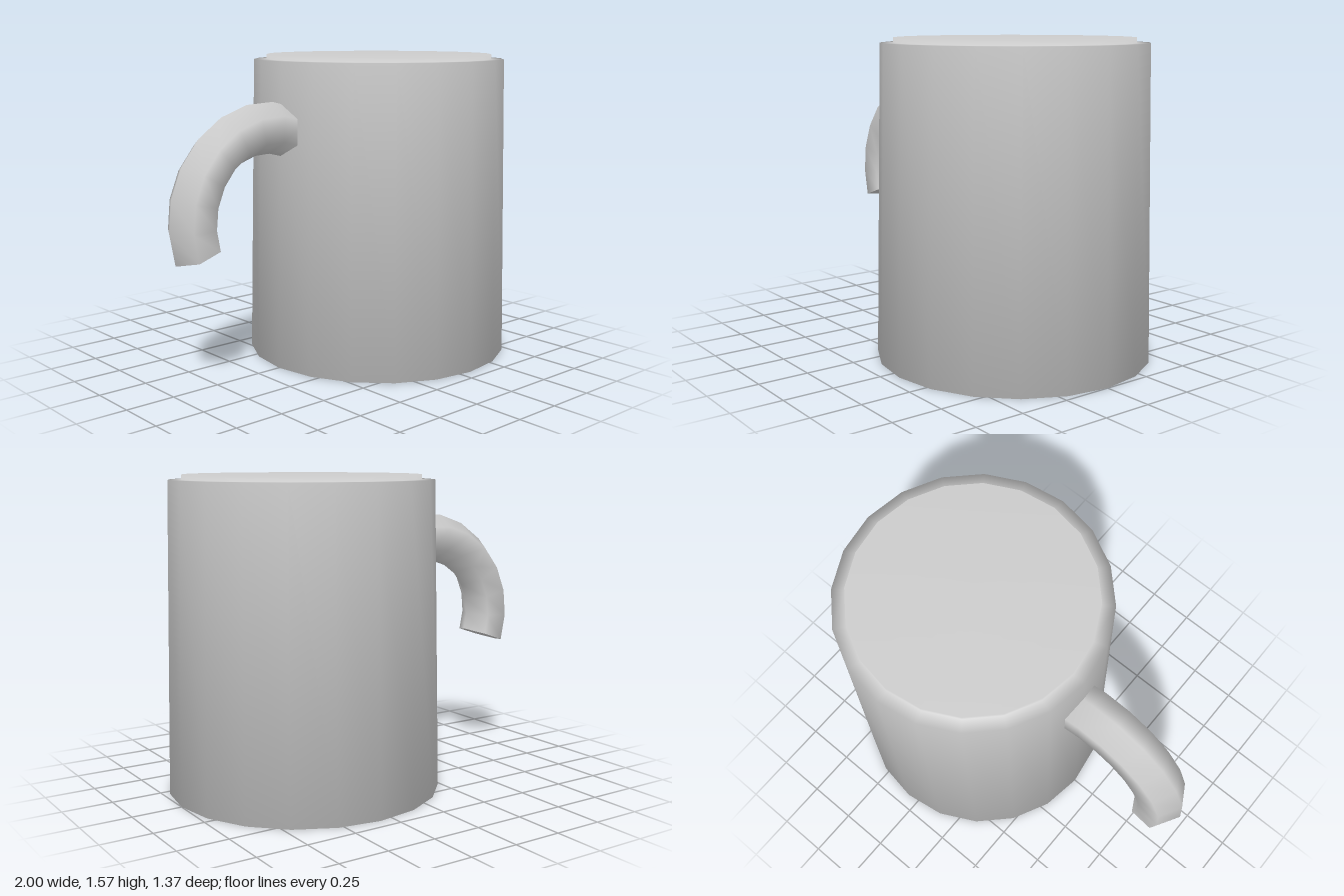
import * as THREE from 'three';

export function createModel() {
  const model = new THREE.Group();
  const grey = new THREE.MeshStandardMaterial({ color: 0xcccccc });
  grey.name = 'plain grey';

  const add = (name, geometry, parent = model) => {
    const mesh = new THREE.Mesh(geometry, grey);
    mesh.name = name;
    parent.add(mesh);
    return mesh;
  };

  // Tapered mug body with a raised disc on top, closed and smooth-shaded
  const profile = [
    [0, 0], [0.685, 0], [0.653, 1.545], [0.588, 1.545], [0.588, 1.57], [0, 1.57],
  ].map(([r, y]) => new THREE.Vector2(r, y));
  add('mugBody', new THREE.LatheGeometry(profile, 20)).position.x = 0.315;

  // Open hook handle: six-sided arc from inside the wall to a free lower end
  const arcRadius = 0.426, tubeRadius = 0.126;
  const start = THREE.MathUtils.degToRad(68);
  const end = THREE.MathUtils.degToRad(199);
  const handle = new THREE.Group();
  handle.name = 'handle';
  handle.position.set(-0.447, 0.803, 0);
  model.add(handle);

  const arc = new THREE.TorusGeometry(arcRadius, tubeRadius, 6, 8, end - start);
  add('handleArc', arc.rotateZ(start), handle);

  // Flat caps on both ends of the handle
  for (const [name, angle, tilt] of [
    ['handleLowerCap', end, -Math.PI / 2],
    ['handleUpperCap', start, Math.PI / 2],
  ]) {
    const cap = new THREE.CircleGeometry(tubeRadius, 6);
    cap.rotateX(tilt).translate(arcRadius, 0, 0).rotateZ(angle);
    add(name, cap, handle);
  }

  return model;
}
